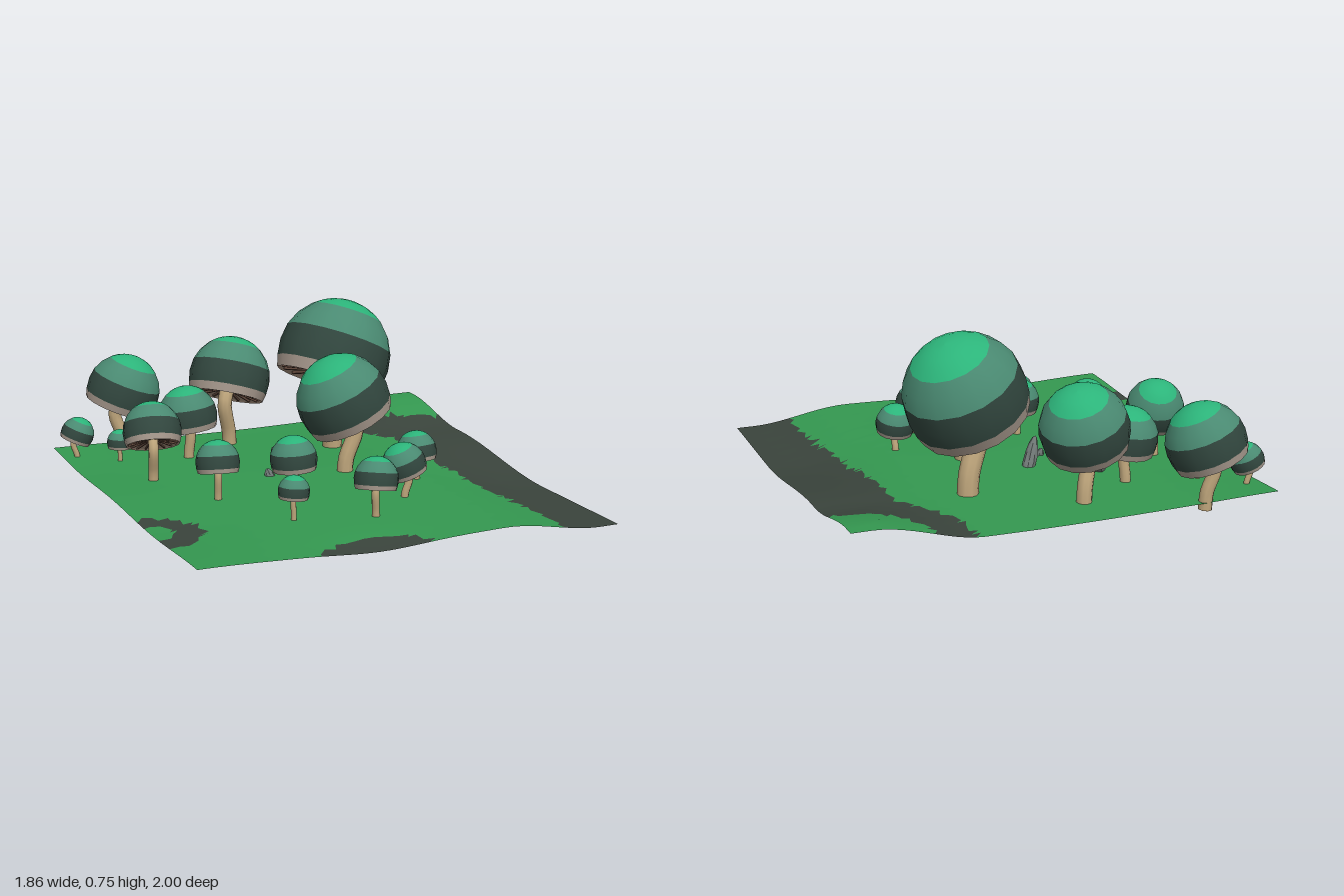
import * as THREE from 'three';
import { mergeGeometries } from 'three/addons/utils/BufferGeometryUtils.js';

const mat = (color, extra = {}) =>
  new THREE.MeshStandardMaterial({ color, side: THREE.DoubleSide, ...extra });

const MATS = {
  crown: mat(0x2cb47a), upper: mat(0x4a8a72), band: mat(0x32473f), rim: mat(0xa89a8e),
  under: mat(0xa08a78), gill: mat(0x5c4438), stem: mat(0xbfa67c),
  grass: mat(0x349850), dirt: mat(0x3a443c), stone: mat(0x6c7472, { flatShading: true }),
};

function mesh(name, geometry, material) {
  const m = new THREE.Mesh(geometry, material);
  m.name = name;
  return m;
}

// ---- ground -------------------------------------------------------------
const smooth = THREE.MathUtils.smoothstep;
const lerp = THREE.MathUtils.lerp;

function groundHeight(x, z) {
  const flat = 0.066 + 0.006 * Math.sin(3.1 * x + 1.5) * Math.cos(3.7 * z)
    + 0.008 * smooth(-x, 0.5, 0.93) * Math.cos(6 * z);
  const edge = 0.006 + 0.075 * (1 - smooth(z, -0.35, 0.42)) + 0.074 * (1 - smooth(z, -0.82, -0.35));
  const dip = 0.02 * Math.exp(-(((x + 0.17) / 0.25) ** 2) - ((z - 1) / 0.15) ** 2);
  return lerp(flat, edge, smooth(x, 0.38, 0.84)) - dip;
}

function isDirt(x, z) {
  const ellipse = (cx, cz, rx, rz) => Math.hypot((x - cx) / rx, (z - cz) / rz) < 1;
  // inner border of the bare strip along the right side
  const border = 0.41 + 0.18 * smooth(z, -0.7, -0.3) + 0.08 * smooth(z, -0.2, 0.9);
  const strip = x > border && !ellipse(0.95, -0.9, 0.38, 0.36);
  const leftPatch = ellipse(-0.9, 0.5, 0.18, 0.2) && !ellipse(-0.9, 0.48, 0.08, 0.09);
  return strip || leftPatch || ellipse(-0.17, 1.0, 0.24, 0.13);
}

function buildGround() {
  const grid = new THREE.PlaneGeometry(1.85, 1.86, 44, 44);
  grid.rotateX(-Math.PI / 2).translate(0, 0, 0.07);
  const p = grid.attributes.position;
  for (let i = 0; i < p.count; i++) {
    let x = p.getX(i), z = p.getZ(i);
    // nudge inner points so patch borders look ragged
    if (Math.abs(x) < 0.92 && Math.abs(z - 0.07) < 0.92) {
      x += 0.015 * Math.sin(i * 12.9);
      z += 0.015 * Math.sin(i * 7.3 + 1);
    }
    p.setXYZ(i, x, groundHeight(x, z), z);
  }
  grid.computeVertexNormals();

  // share the grid between a grass and a dirt mesh
  const faces = { grass: [], dirt: [] };
  const index = grid.index.array;
  for (let i = 0; i < index.length; i += 3) {
    const tri = [index[i], index[i + 1], index[i + 2]];
    const mean = (get) => tri.reduce((s, v) => s + get(v), 0) / 3;
    const dirt = isDirt(mean((v) => p.getX(v)), mean((v) => p.getZ(v)));
    faces[dirt ? 'dirt' : 'grass'].push(...tri);
  }
  const ground = new THREE.Group();
  ground.name = 'ground';
  for (const kind of ['grass', 'dirt']) {
    const g = grid.clone();
    g.setIndex(faces[kind]);
    ground.add(mesh(kind, g, MATS[kind]));
  }
  return ground;
}

// ---- mushrooms ----------------------------------------------------------
const SIDES = 16;

// Unit dome profile between two heights, slightly tucked in below its widest line
function domeBand(y0, y1, rows) {
  const pts = [];
  const a0 = Math.asin(y0), a1 = Math.asin(y1);
  for (let i = 0; i <= rows; i++) {
    const a = lerp(a0, a1, i / rows);
    const y = Math.sin(a);
    pts.push(new THREE.Vector2(y > 0 ? Math.max(Math.cos(a), 0) : 1 - 0.35 * y * y, y));
  }
  return new THREE.LatheGeometry(pts, SIDES);
}

function gillBlades() {
  const blades = [];
  for (let i = 0; i < SIDES; i++) {
    const blade = new THREE.BoxGeometry(0.62, 0.05, 0.05);
    blade.rotateZ(-0.2).translate(0.53, -0.4, 0).rotateY((i / SIDES) * Math.PI * 2);
    blades.push(blade);
  }
  return mergeGeometries(blades);
}

const V2 = (x, y) => new THREE.Vector2(x, y);
const CAP_PARTS = [
  ['capCrown', domeBand(0.76, 1, 4), MATS.crown],
  ['capUpperBand', domeBand(0.28, 0.76, 2), MATS.upper],
  ['capDarkBand', domeBand(-0.3, 0.28, 2), MATS.band],
  ['capRim', domeBand(-0.5, -0.3, 1), MATS.rim],
  ['capUnderside', new THREE.LatheGeometry(
    [V2(0, -0.28), V2(0.2, -0.3), V2(0.84, -0.43), V2(0.9125, -0.5)], SIDES), MATS.under],
  ['gills', gillBlades(), MATS.gill],
];

// x, y, z: middle of the dome; r: radius; tx, tz: sideways lean of the cap axis
function buildMushroom([x, y, z, r, tx, tz]) {
  const mushroom = new THREE.Group();
  mushroom.name = 'mushroom';
  const centre = new THREE.Vector3(x, y, z);
  const axis = new THREE.Vector3(tx, Math.sqrt(1 - tx * tx - tz * tz), tz);

  const cap = new THREE.Group();
  cap.name = 'cap';
  for (const [name, geo, material] of CAP_PARTS) cap.add(mesh(name, geo, material));
  cap.position.copy(centre);
  cap.quaternion.setFromUnitVectors(new THREE.Vector3(0, 1, 0), axis);
  cap.scale.setScalar(r);

  // stem rises from the ground, then bends into the cap axis
  const top = centre.clone().addScaledVector(axis, -0.25 * r);
  const neck = centre.clone().addScaledVector(axis, -0.7 * r);
  const foot = new THREE.Vector3(x - 0.1 * r * tx, groundHeight(x, z) - 0.02 - 0.09 * r, z - 0.1 * r * tz);
  const mid = foot.clone().lerp(neck, 0.4);
  mid.x += 0.15 * r * tx;
  mid.z += 0.15 * r * tz;
  const curve = new THREE.CatmullRomCurve3([foot, mid, neck, top]);
  const stemRadius = 0.175 * r;
  mushroom.add(cap, mesh('stem', new THREE.TubeGeometry(curve, 10, stemRadius, 10), MATS.stem));

  const sole = mesh('stemBase', new THREE.CircleGeometry(stemRadius, 10), MATS.stem);
  sole.position.copy(foot);
  sole.quaternion.setFromUnitVectors(new THREE.Vector3(0, 0, -1), curve.getTangent(0));
  mushroom.add(sole);
  return mushroom;
}

const MUSHROOMS = [
  [0.29, 0.50, -0.395, 0.26, 0.4, -0.18],
  [0.135, 0.395, 0.02, 0.205, -0.42, -0.06],
  [-0.13, 0.383, -0.65, 0.188, 0.3, -0.25],
  [-0.59, 0.325, -0.83, 0.168, 0.36, 0.1],
  [-0.40, 0.265, -0.49, 0.133, -0.1, -0.1],
  [-0.665, 0.285, -0.22, 0.128, 0.1, -0.45],
  [-0.855, 0.175, -0.705, 0.075, 0.4, 0.05],
  [-0.70, 0.152, -0.565, 0.058, 0.05, -0.05],
  [-0.515, 0.228, 0.17, 0.093, 0.05, -0.22],
  [-0.21, 0.23, 0.265, 0.1, -0.04, -0.08],
  [-0.34, 0.187, 0.56, 0.065, 0.08, -0.05],
  [-0.01, 0.22, 0.64, 0.092, 0.15, -0.2],
  [0.21, 0.207, 0.46, 0.094, -0.35, -0.1],
  [0.38, 0.194, 0.25, 0.088, -0.05, -0.2],
];

// ---- stones: tapered lumps stretched between two points ------------------
function buildStone([x0, y0, z0, x1, y1, z1, r]) {
  const a = new THREE.Vector3(x0, y0, z0), b = new THREE.Vector3(x1, y1, z1);
  const length = a.distanceTo(b);
  const geo = new THREE.SphereGeometry(1, 9, 7);
  const p = geo.attributes.position;
  for (let i = 0; i < p.count; i++) {
    const y = p.getY(i);
    const bump = 1 - 0.2 * y + 0.12 * Math.sin(5 * p.getX(i) + 7 * y) * Math.cos(4 * p.getZ(i));
    p.setXYZ(i, p.getX(i) * bump * r, (y * length) / 2, p.getZ(i) * bump * r);
  }
  geo.computeVertexNormals();
  const stone = mesh('stone', geo, MATS.stone);
  stone.position.copy(a).add(b).multiplyScalar(0.5);
  stone.quaternion.setFromUnitVectors(new THREE.Vector3(0, 1, 0), b.sub(a).normalize());
  return stone;
}

const STONES = [
  [-0.39, 0.02, -0.22, -0.335, 0.1, -0.37, 0.03],
  [-0.26, 0.02, -0.35, -0.275, 0.11, -0.385, 0.026],
  [-0.06, 0.01, -0.2, -0.145, 0.18, -0.105, 0.03],
  [-0.175, 0.02, -0.03, -0.195, 0.1, -0.06, 0.024],
];

export function createModel() {
  const model = new THREE.Group();
  model.name = 'mushroomPatch';
  model.add(buildGround());
  for (const m of MUSHROOMS) model.add(buildMushroom(m));
  for (const s of STONES) model.add(buildStone(s));
  return model;
}
